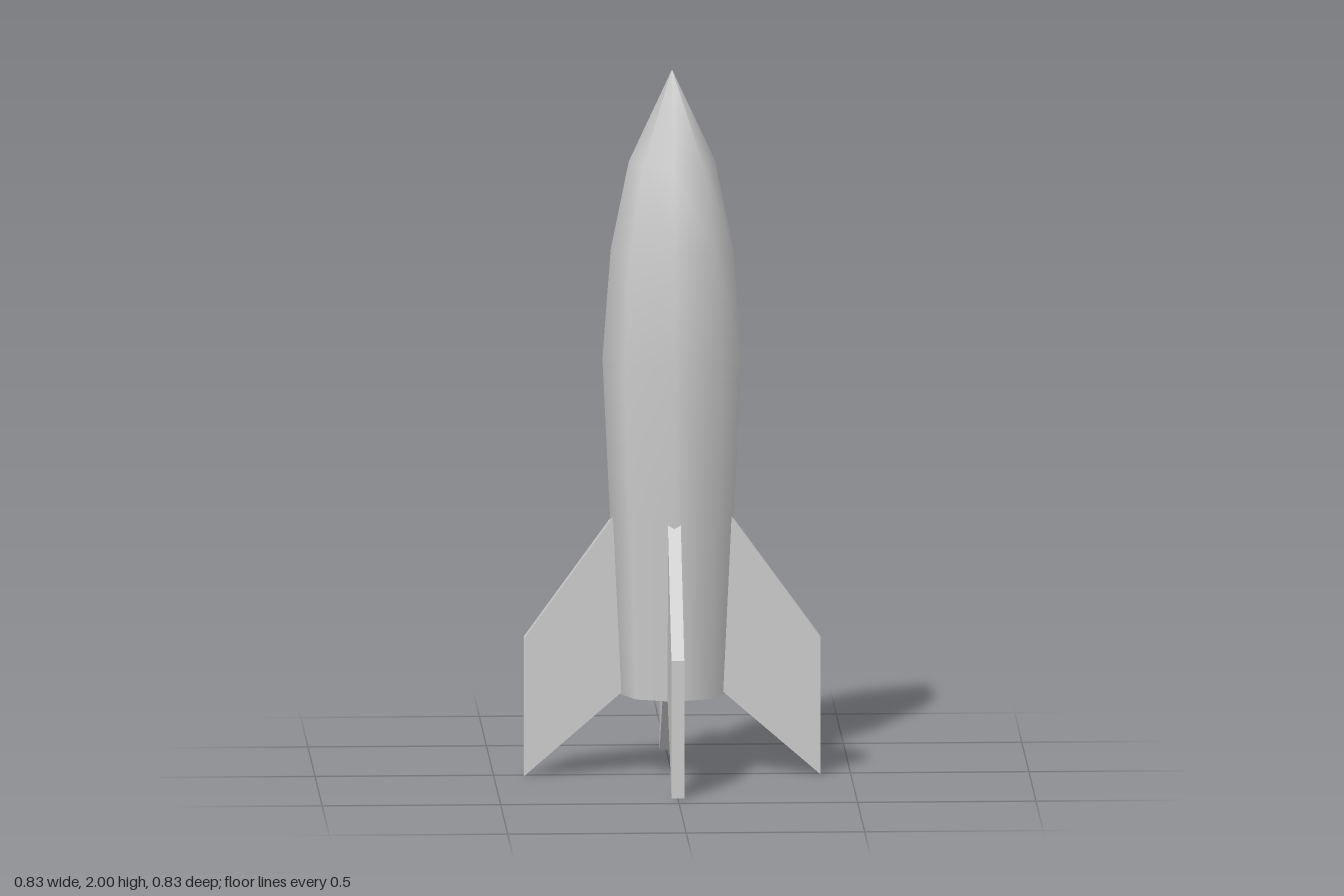
import * as THREE from 'three';

const SIDES = 8;
const BASE_Y = 0.23, BASE_R = 0.15;
const FIN_THICKNESS = 0.036;

export function createModel() {
  const model = new THREE.Group();
  model.name = 'rocket';
  const grey = new THREE.MeshStandardMaterial({ color: 0xcccccc });

  const add = (name, geometry, parent = model) => {
    const mesh = new THREE.Mesh(geometry, grey);
    mesh.name = name;
    parent.add(mesh);
    return mesh;
  };

  // Eight-sided hull with smooth normals, from the tail to the nose tip
  const profile = [
    [BASE_R, BASE_Y], [0.173, 0.72], [0.195, 1.18],
    [0.172, 1.49], [0.121, 1.74], [0, 2],
  ].map(([r, y]) => new THREE.Vector2(r, y));
  add('hull', new THREE.LatheGeometry(profile, SIDES));

  // Flat plate closing the tail
  const base = new THREE.CircleGeometry(BASE_R, SIDES);
  base.rotateX(Math.PI / 2);
  add('tailPlate', base).position.y = BASE_Y;

  // Swept fin, its root sunk just inside the hull
  const outline = new THREE.Shape([
    [0.163, 0.738], [0.415, 0.39], [0.415, 0], [0.14, 0.238],
  ].map(([x, y]) => new THREE.Vector2(x, y)));
  const fin = new THREE.ExtrudeGeometry(outline, { depth: FIN_THICKNESS, bevelEnabled: false });
  fin.translate(0, 0, -FIN_THICKNESS / 2);

  // Four fins around the tail
  const fins = new THREE.Group();
  fins.name = 'fins';
  model.add(fins);
  ['leftFin', 'backFin', 'rightFin', 'frontFin'].forEach((name, i) => {
    add(name, fin, fins).rotation.y = i * Math.PI / 2;
  });

  return model;
}
